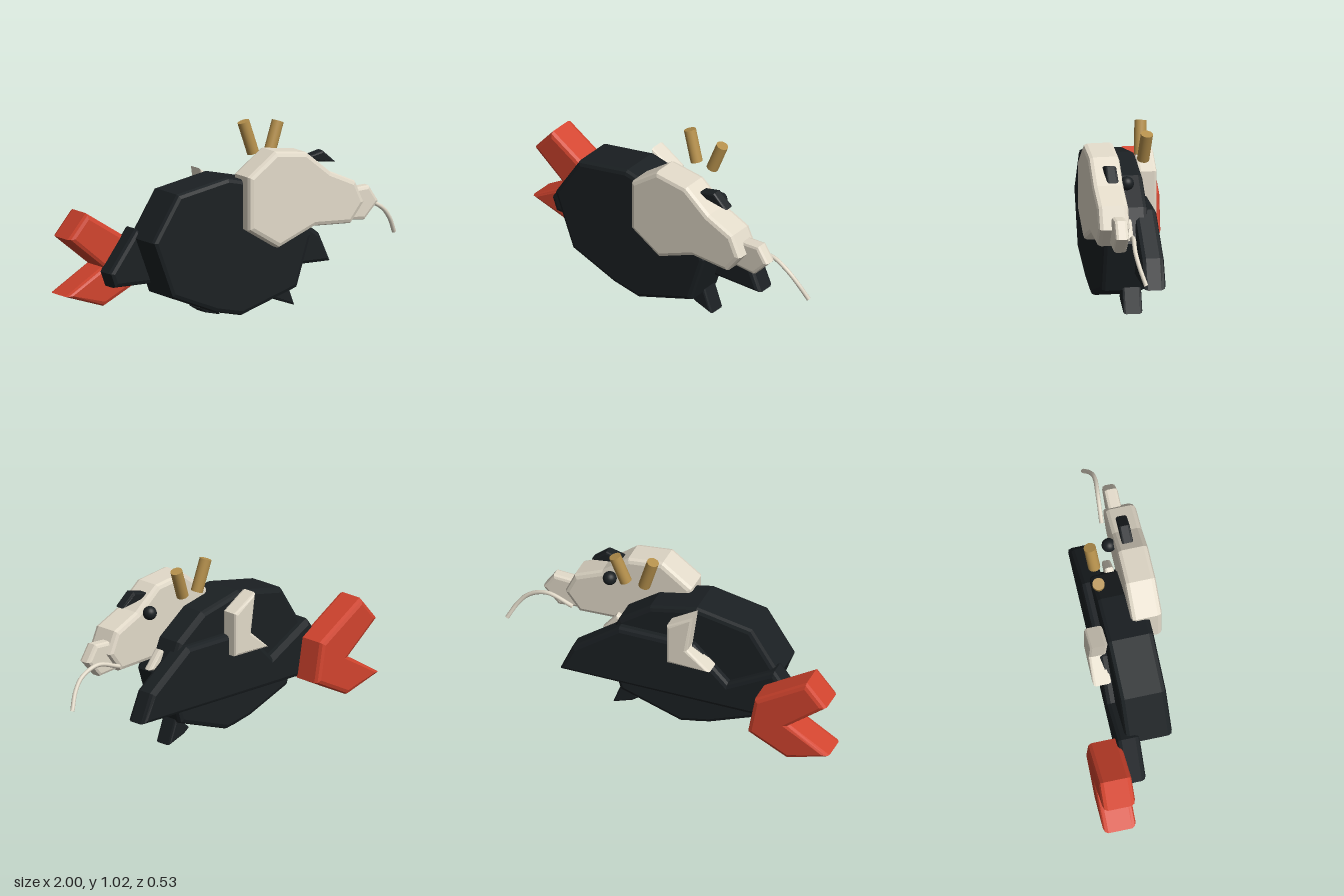
import * as THREE from 'three';

const mat = (color) => new THREE.MeshStandardMaterial({ color });
const black = mat(0x1b2023), cream = mat(0xe2dac9), red = mat(0xd2442e), gold = mat(0xb5904c);

// Soft-edged slab: outline in x/y, spanning z0 to z1
function slab(name, material, points, z0, z1, bevel = 0.025) {
  const shape = new THREE.Shape(points.map(([x, y]) => new THREE.Vector2(x, y)));
  const geo = new THREE.ExtrudeGeometry(shape, {
    depth: z1 - z0 - 2 * bevel,
    bevelThickness: bevel, bevelSize: bevel, bevelOffset: -bevel, bevelSegments: 2,
  });
  geo.translate(0, 0, z0 + bevel);
  const mesh = new THREE.Mesh(geo, material);
  mesh.name = name;
  return mesh;
}

// Straight cylinder between two points
function rod(name, material, from, to, radius) {
  const a = new THREE.Vector3(...from), b = new THREE.Vector3(...to);
  const dir = b.clone().sub(a);
  const mesh = new THREE.Mesh(new THREE.CylinderGeometry(radius, radius, dir.length(), 24), material);
  mesh.position.copy(a).add(b).multiplyScalar(0.5);
  mesh.quaternion.setFromUnitVectors(new THREE.Vector3(0, 1, 0), dir.normalize());
  mesh.name = name;
  return mesh;
}

export function createModel() {
  const model = new THREE.Group();
  model.name = 'creature';

  // Body and the long plate behind it
  model.add(slab('body', black, [
    [-0.63, 0.46], [-0.51, 0.15], [-0.23, 0.04], [-0.06, 0.005], [0.29, 0.12], [0.38, 0.4],
    [0.3, 0.58], [0.12, 0.71], [-0.15, 0.77], [-0.47, 0.71],
  ], -0.06, 0.195));
  model.add(slab('backPlate', black, [
    [0.62, 0.2], [0.55, 0.36], [0.28, 0.56], [-0.15, 0.56], [-0.35, 0.36], [-0.62, 0.51],
    [-0.79, 0.28], [-0.76, 0.2],
  ], -0.11, 0.015));

  // Head, snout and cheek
  model.add(slab('head', cream, [
    [-0.06, 0.77], [0.11, 0.895], [0.31, 0.87], [0.46, 0.75], [0.62, 0.68], [0.675, 0.56],
    [0.59, 0.45], [0.36, 0.46], [0.13, 0.365], [-0.06, 0.48],
  ], 0.095, 0.265));
  model.add(slab('snout', cream, [
    [0.55, 0.62], [0.75, 0.63], [0.81, 0.54], [0.72, 0.445], [0.55, 0.46],
  ], 0.12, 0.195, 0.018));
  model.add(slab('cheek', cream, [
    [0.28, 0.5], [0.35, 0.53], [0.43, 0.43], [0.34, 0.41],
  ], 0.035, 0.085, 0.014));

  // Ear and eye
  model.add(slab('ear', black, [
    [0.35, 0.83], [0.45, 0.855], [0.535, 0.782], [0.4, 0.8],
  ], 0.135, 0.197, 0.012));
  const eye = new THREE.Mesh(new THREE.SphereGeometry(0.038, 24, 16), black);
  eye.position.set(0.4, 0.743, 0.07);
  eye.name = 'eye';
  model.add(eye);

  // Horns
  model.add(rod('rightHorn', gold, [0.155, 0.835, -0.04], [0.1, 1.01, -0.052], 0.033));
  model.add(rod('leftHorn', gold, [0.262, 0.835, -0.04], [0.32, 0.99, -0.052], 0.033));

  // Whisker
  const path = new THREE.CatmullRomCurve3([
    [0.62, 0.49, 0.08], [0.77, 0.53, 0.092], [0.88, 0.485, 0.1], [0.94, 0.42, 0.088], [0.99, 0.33, 0.06],
  ].map((p) => new THREE.Vector3(...p)));
  const whisker = new THREE.Mesh(new THREE.TubeGeometry(path, 24, 0.012, 10), cream);
  whisker.material = cream.clone();
  whisker.material.side = THREE.DoubleSide;
  whisker.name = 'whisker';
  model.add(whisker);

  // Side fin
  model.add(slab('fin', cream, [
    [-0.17, 0.78], [-0.02, 0.69], [-0.02, 0.45], [-0.27, 0.45], [-0.14, 0.56],
  ], -0.162, -0.06, 0.016));

  // Forked tail
  model.add(slab('tail', red, [
    [-0.87, 0.605], [-0.57, 0.42], [-0.53, 0.2], [-0.76, 0.085], [-1.0, 0.16], [-0.77, 0.3], [-0.985, 0.47],
  ], -0.265, -0.085));

  // Feet
  model.add(slab('leftFoot', black, [
    [0.19, 0.07], [0.29, 0.15], [0.345, 0], [0.23, 0.04],
  ], -0.025, 0.08, 0.014));
  model.add(slab('rightFoot', black, [
    [-0.27, 0.05], [-0.17, 0.13], [-0.13, 0], [-0.22, 0.02],
  ], -0.025, 0.08, 0.014));

  return model;
}
